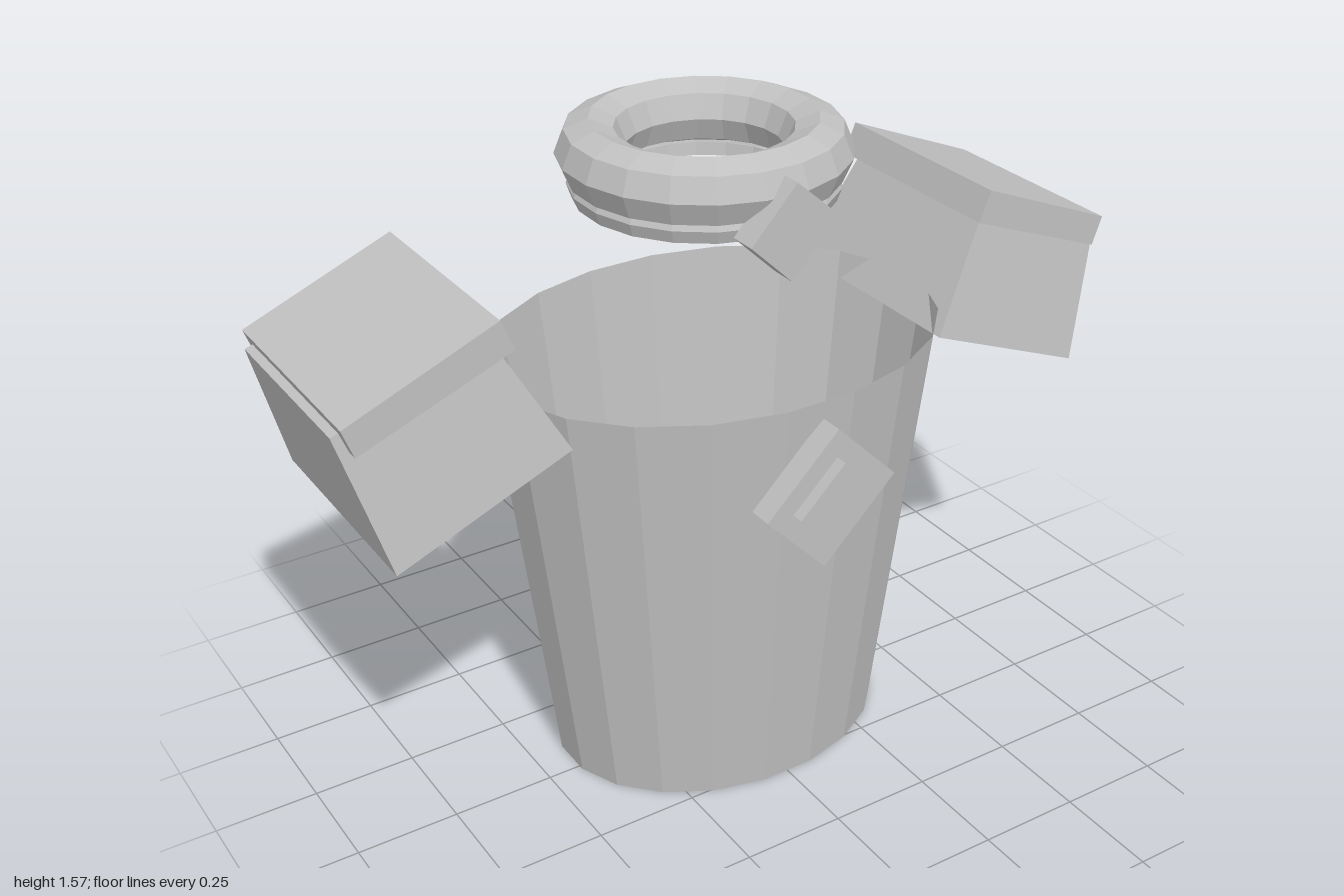
import * as THREE from 'three';
import { ConvexGeometry } from 'three/addons/geometries/ConvexGeometry.js';

export function createModel() {
  const model = new THREE.Group();
  const grey = new THREE.MeshStandardMaterial({ color: 0xc0c0c0, flatShading: true, side: THREE.DoubleSide });
  grey.name = 'plain grey';
  const SIDES = 20;

  const add = (name, geometry, z = 0) => {
    const mesh = new THREE.Mesh(geometry, grey);
    mesh.name = name;
    mesh.position.z = z;
    model.add(mesh);
    return mesh;
  };

  // Torso: open tapered tube with an oval section
  const torso = new THREE.CylinderGeometry(0.555, 0.423, 1.065, SIDES, 1, true, Math.PI / SIDES);
  torso.scale(1, 1, 0.778).translate(0, 0.5325, 0);
  add('torso', torso, -0.038);

  // Collar: eight-sided roll sitting on a narrow lower band
  const roll = [];
  for (let i = 0; i <= 8; i++) {
    const a = (i / 8) * Math.PI * 2;
    roll.push(new THREE.Vector2(0.255 + 0.077 * Math.cos(a), 1.49 + 0.077 * Math.sin(a)));
  }
  const band = [[0.22, 1.42], [0.215, 1.39], [0.298, 1.39], [0.308, 1.42], [0.3, 1.436]]
    .map(([r, y]) => new THREE.Vector2(r, y));
  add('collarRoll', new THREE.LatheGeometry(roll, SIDES, Math.PI / SIDES), -0.077);
  add('collarBand', new THREE.LatheGeometry(band, SIDES, Math.PI / SIDES), -0.077);

  // Diamond plates on the collar and chest
  const plate = (name, corners, back, front) => {
    const shape = new THREE.Shape(corners.map(([x, y]) => new THREE.Vector2(x, y)));
    add(name, new THREE.ExtrudeGeometry(shape, { depth: front - back, bevelEnabled: false }), back);
  };
  plate('collarDiamond', [[0, 1.53], [-0.113, 1.408], [-0.008, 1.307], [0.107, 1.435]], 0.215, 0.283);
  plate('chestDiamond', [[0.01, 1.02], [-0.17, 0.843], [-0.018, 0.683], [0.165, 0.864]], 0.38, 0.44);
  plate('chestDiamondInset', [[0.008, 0.952], [-0.104, 0.843], [-0.008, 0.748], [0.1, 0.86]], 0.44, 0.47);

  // Shoulders: tapered block with a tilted slab on top, mirrored
  const block = (name, side, corners) => {
    const points = corners.flatMap(([x, y, z0, z1]) =>
      [z0, z1].map((z) => new THREE.Vector3(side * x, y, z)));
    add(name, new ConvexGeometry(points));
  };
  for (const side of [1, -1]) {
    const label = side > 0 ? 'left' : 'right';
    block(label + 'ShoulderBlock', side, [
      [0.49, 0.997, -0.392, 0.175], [0.909, 0.827, -0.392, 0.175],
      [1.0, 1.154, -0.342, 0.122], [0.648, 1.286, -0.342, 0.122],
    ]);
    block(label + 'ShoulderSlab', side, [
      [0.602, 1.256, -0.374, 0.158], [0.965, 1.115, -0.374, 0.158],
      [0.99, 1.184, -0.374, 0.158], [0.632, 1.33, -0.374, 0.158],
    ]);
  }
  return model;
}
